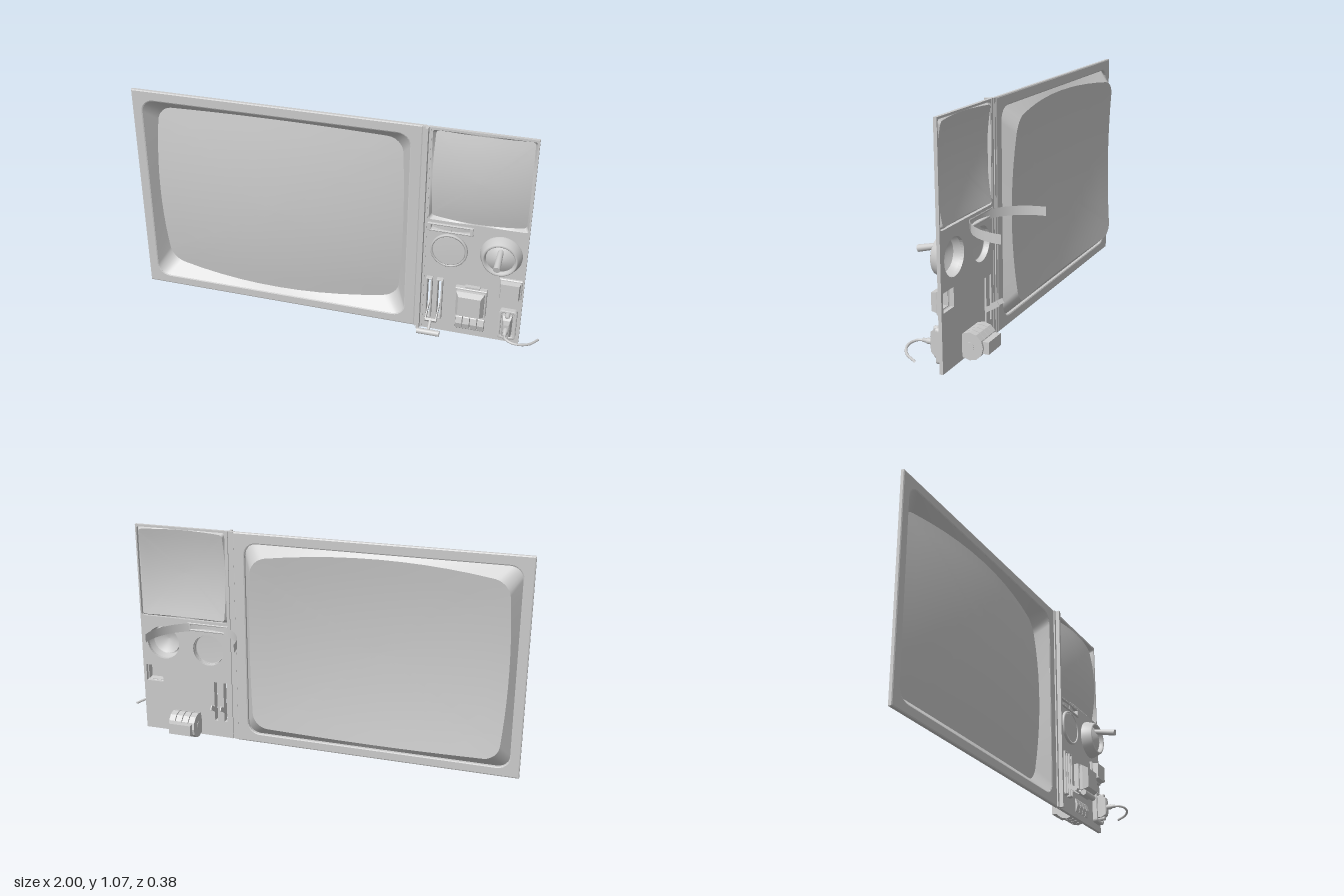
import * as THREE from 'three';

const grey = new THREE.MeshStandardMaterial({ color: 0xcccccc, side: THREE.DoubleSide });

// Rounded rectangle ring, counter-clockwise from the front; z may be a function of (x, y).
// bx, by pull the corners in so that the sides bow outward.
function ring(cx, cy, hw, hh, z, r = 0, bx = 0, by = 0) {
  const pts = [], side = r ? 10 : 1, arc = r ? 6 : 0;
  const corners = [[1, -1, -90], [1, 1, 0], [-1, 1, 90], [-1, -1, 180]].map(([sx, sy, a]) => {
    const c = [];
    for (let i = 0; i <= arc; i++) {
      const t = (a + (arc ? (90 * i) / arc : 0)) * Math.PI / 180;
      c.push(r ? [sx * (hw - r) + r * Math.cos(t), sy * (hh - r) + r * Math.sin(t)] : [sx * hw, sy * hh]);
    }
    return c;
  });
  corners.forEach((c, k) => {
    pts.push(...c);
    const a = c[c.length - 1], b = corners[(k + 1) % 4][0];
    for (let i = 1; i < side; i++) pts.push([a[0] + (b[0] - a[0]) * i / side, a[1] + (b[1] - a[1]) * i / side]);
  });
  return pts.map(([u, v]) => {
    const x = cx + u * (1 - bx * (v / hh) ** 2), y = cy + v * (1 - by * (u / hw) ** 2);
    return [x, y, typeof z === 'function' ? z(x, y) : z];
  });
}

// Skin between rings of equal length, optionally closed at the last ring
function loft(rings, { cap = false, flat = false } = {}) {
  const n = rings[0].length, pos = rings.flat(2), idx = [];
  for (let i = 0; i < rings.length - 1; i++) for (let j = 0; j < n; j++) {
    const a = i * n + j, b = i * n + (j + 1) % n;
    idx.push(a, b, a + n, b, b + n, a + n);
  }
  if (cap) for (let j = 1; j < n - 1; j++) {
    const o = (rings.length - 1) * n;
    idx.push(o, o + j, o + j + 1);
  }
  let g = new THREE.BufferGeometry();
  g.setAttribute('position', new THREE.Float32BufferAttribute(pos, 3));
  g.setIndex(idx);
  if (flat) g = g.toNonIndexed();
  g.computeVertexNormals();
  return g;
}

const shapeOf = pts => new THREE.Shape(pts.map(p => new THREE.Vector2(p[0], p[1])));
const circle = (x, y, r) => Array.from({ length: 40 }, (_, i) =>
  [x + r * Math.cos(i * Math.PI / 20), y + r * Math.sin(i * Math.PI / 20)]);

export function createModel() {
  const model = new THREE.Group();
  const add = (name, geo, x = 0, y = 0, z = 0, parent = model) => {
    const m = new THREE.Mesh(geo, grey);
    m.name = name;
    m.position.set(x, y, z);
    parent.add(m);
    return m;
  };
  const box = (name, w, h, d, x, y, z) => add(name, new THREE.BoxGeometry(w, h, d), x, y, z);
  const plate = (name, outer, holes, z0, z1, bevel = 0) => {
    const s = shapeOf(outer);
    s.holes = holes.map(h => new THREE.Path(shapeOf(h).getPoints()));
    return add(name, new THREE.ExtrudeGeometry(s, {
      depth: z1 - z0 - bevel, bevelEnabled: bevel > 0, bevelSize: bevel, bevelOffset: -bevel,
      bevelThickness: bevel / 2, bevelSegments: 1,
    }), 0, 0, z0 + bevel / 2);
  };
  // Stack of square-cornered rings, given as [halfWidth, halfHeight, z]
  const block = (name, x, y, steps) =>
    add(name, loft(steps.map(([w, h, z]) => ring(x, y, w, h, z)), { cap: true, flat: true }));
  // Turned part facing +z, given as [radius, z] from the back rim to the centre
  const turned = (name, x, y, pts, seg = 40) => {
    const geo = new THREE.LatheGeometry(pts.map(p => new THREE.Vector2(p[0], p[1])), seg);
    return add(name, geo.rotateX(Math.PI / 2), x, y, 0);
  };
  // Domed screen with bowed sides
  const screen = (name, cx, cy, hw, hh, z0, k, r, bx, by) => {
    const dome = (x, y) => z0 - k * ((x - cx) ** 2 + (y - cy) ** 2);
    const scales = [1, 0.85, 0.7, 0.55, 0.4, 0.25, 0.1, 0.001];
    add(name, loft(scales.map(s => ring(cx, cy, hw * s, hh * s, dome, r * s, bx, by)), { cap: true }));
    return ring(cx, cy, hw, hh, dome, r, bx, by);
  };

  // Main screen, its sloping surround and frame
  const mainEdge = screen('mainScreen', -0.305, 0.535, 0.618, 0.463, 0.045, 0.165, 0.07, 0.035, 0.08);
  const mainOpening = z => ring(-0.305, 0.533, 0.647, 0.487, z, 0.06);
  add('mainScreenSurround', loft([mainOpening(0.028), mainEdge]));
  plate('mainFrame', ring(-0.302, 0.535, 0.698, 0.535, 0), [mainOpening(0)], 0.012, 0.031, 0.005);

  // Divider posts between the two panels
  box('dividerPost', 0.013, 1.07, 0.02, 0.403, 0.535, 0.025);
  box('dividerPost', 0.014, 1.07, 0.036, 0.417, 0.535, 0.037);
  box('dividerPost', 0.01, 1.07, 0.02, 0.43, 0.535, 0.025);

  // Control panel with its openings
  const smallOpening = z => ring(0.668, 0.835, 0.227, 0.225, z, 0.012);
  plate('controlPanel', ring(0.666, 0.535, 0.236, 0.535, 0), [
    smallOpening(0), circle(0.545, 0.46, 0.08), circle(0.785, 0.475, 0.085),
    ring(0.842, 0.305, 0.045, 0.043, 0), ring(0.463, 0.19, 0.008, 0.105, 0), ring(0.513, 0.19, 0.008, 0.105, 0),
    ring(0.665, 0.066, 0.07, 0.033, 0), ring(0.545, 0.575, 0.09, 0.012, 0),
  ], 0.017, 0.033);
  const smallEdge = screen('smallScreen', 0.668, 0.835, 0.22, 0.219, 0.056, 0.5, 0.015, 0.02, 0.02);
  add('smallScreenSurround', loft([smallOpening(0.033), smallEdge]));

  // Meter window with a curved scale strip behind it
  plate('meterFrame', ring(0.545, 0.575, 0.106, 0.021, 0), [ring(0.545, 0.575, 0.09, 0.012, 0)], 0.015, 0.042, 0.003);
  box('meterNeedle', 0.004, 0.024, 0.004, 0.55, 0.573, 0.038);
  add('meterStrip', new THREE.CylinderGeometry(0.225, 0.225, 0.042, 40, 1, true, -Math.PI / 2, Math.PI), 0.55, 0.571, -0.19);

  // Round button
  turned('roundButtonRing', 0.545, 0.46, [[0.08, 0.017], [0.087, 0.033], [0.087, 0.042], [0.083, 0.046], [0.077, 0.046], [0.077, 0.036]]);
  turned('roundButton', 0.545, 0.46, [[0.077, 0.03], [0.077, 0.041], [0.073, 0.044], [0, 0.044]]);

  // Joystick in a round dish
  turned('joystickDish', 0.785, 0.475, [[0.097, 0.03], [0.097, 0.042], [0.082, 0.083], [0.076, 0.087], [0.07, 0.082], [0.066, 0.066]]);
  turned('joystickCone', 0.785, 0.475, [[0.07, 0.06], [0.05, 0.072], [0.02, 0.084], [0, 0.086]]);
  const stick = add('joystickLever', new THREE.CylinderGeometry(0.016, 0.013, 0.12, 16), 0.785, 0.503, 0.126);
  stick.rotation.x = Math.PI / 2 + 0.23;

  // Square button in a raised frame, hollow behind
  block('squareButton', 0.842, 0.305, [[0.045, 0.043, 0.017], [0.053, 0.051, 0.02], [0.053, 0.051, 0.042],
    [0.049, 0.047, 0.046], [0.046, 0.044, 0.046], [0.046, 0.044, 0.05], [0.042, 0.04, 0.074]]);

  // Large push button
  block('largeButton', 0.664, 0.205, [[0.074, 0.073, 0.033], [0.074, 0.073, 0.057], [0.07, 0.07, 0.06],
    [0.066, 0.064, 0.06], [0.066, 0.064, 0.075], [0.052, 0.05, 0.101]]);
  box('largeButtonTab', 0.07, 0.012, 0.02, 0.668, 0.281, 0.045);

  // Thumbwheels passing through the panel
  for (let i = 0; i < 4; i++) {
    const w = add('thumbwheel', new THREE.CylinderGeometry(0.063, 0.063, 0.031, 12).toNonIndexed(), 0.6125 + i * 0.035, 0.066, -0.018);
    w.geometry.computeVertexNormals();
    w.rotation.z = Math.PI / 2;
  }
  const axle = add('thumbwheelAxle', new THREE.CylinderGeometry(0.02, 0.02, 0.14, 12), 0.665, 0.066, -0.018);
  axle.rotation.z = Math.PI / 2;
  box('thumbwheelMount', 0.115, 0.055, 0.04, 0.665, 0.066, -0.083);

  // Slotted lever: rimmed slots, two arms, crosspiece and T handle
  for (const x of [0.463, 0.513]) {
    plate('leverSlot', ring(x, 0.19, 0.015, 0.112, 0), [ring(x, 0.19, 0.008, 0.105, 0)], 0.02, 0.055, 0.003);
    const arm = box('leverArm', 0.005, 0.022, 0.17, x, 0.14, 0.026);
    arm.rotation.x = 0.55;
  }
  const cross = box('leverCrosspiece', 0.056, 0.016, 0.012, 0.488, 0.097, 0.1);
  cross.rotation.x = 0.55;
  const stem = add('leverStem', new THREE.CylinderGeometry(0.007, 0.007, 0.06, 12), 0.488, 0.08, 0.128);
  stem.rotation.x = Math.PI / 2 + 0.55;
  const grip = add('leverGrip', new THREE.CylinderGeometry(0.014, 0.014, 0.108, 16), 0.488, 0.065, 0.153);
  grip.rotation.z = Math.PI / 2;

  // Socket plate with plug and cable
  plate('socketPlate', ring(0.844, 0.112, 0.042, 0.08, 0, 0.015), [ring(0.844, 0.112, 0.031, 0.066, 0, 0.012)], 0.033, 0.06, 0.004);
  plate('socketFloor', ring(0.844, 0.112, 0.033, 0.068, 0, 0.012), [], 0.033, 0.042);
  block('plugBody', 0.844, 0.117, [[0.022, 0.058, 0.042], [0.022, 0.058, 0.075], [0.016, 0.045, 0.095], [0.011, 0.022, 0.1]]);
  for (const y of [0.055, 0.175]) turned('socketScrew', 0.844, y, [[0.011, 0.04], [0.011, 0.082], [0.008, 0.086], [0, 0.086]], 12);
  turned('plugSleeve', 0.844, 0.112, [[0.013, 0.095], [0.013, 0.12], [0.009, 0.122], [0.009, 0.142], [0, 0.142]], 16);
  const path = new THREE.CatmullRomCurve3([
    [0.844, 0.112, 0.13], [0.85, 0.111, 0.16], [0.878, 0.107, 0.179], [0.92, 0.101, 0.176], [0.962, 0.093, 0.148], [0.996, 0.086, 0.094],
  ].map(p => new THREE.Vector3(...p)));
  add('cable', new THREE.TubeGeometry(path, 30, 0.006, 8));

  return model;
}
